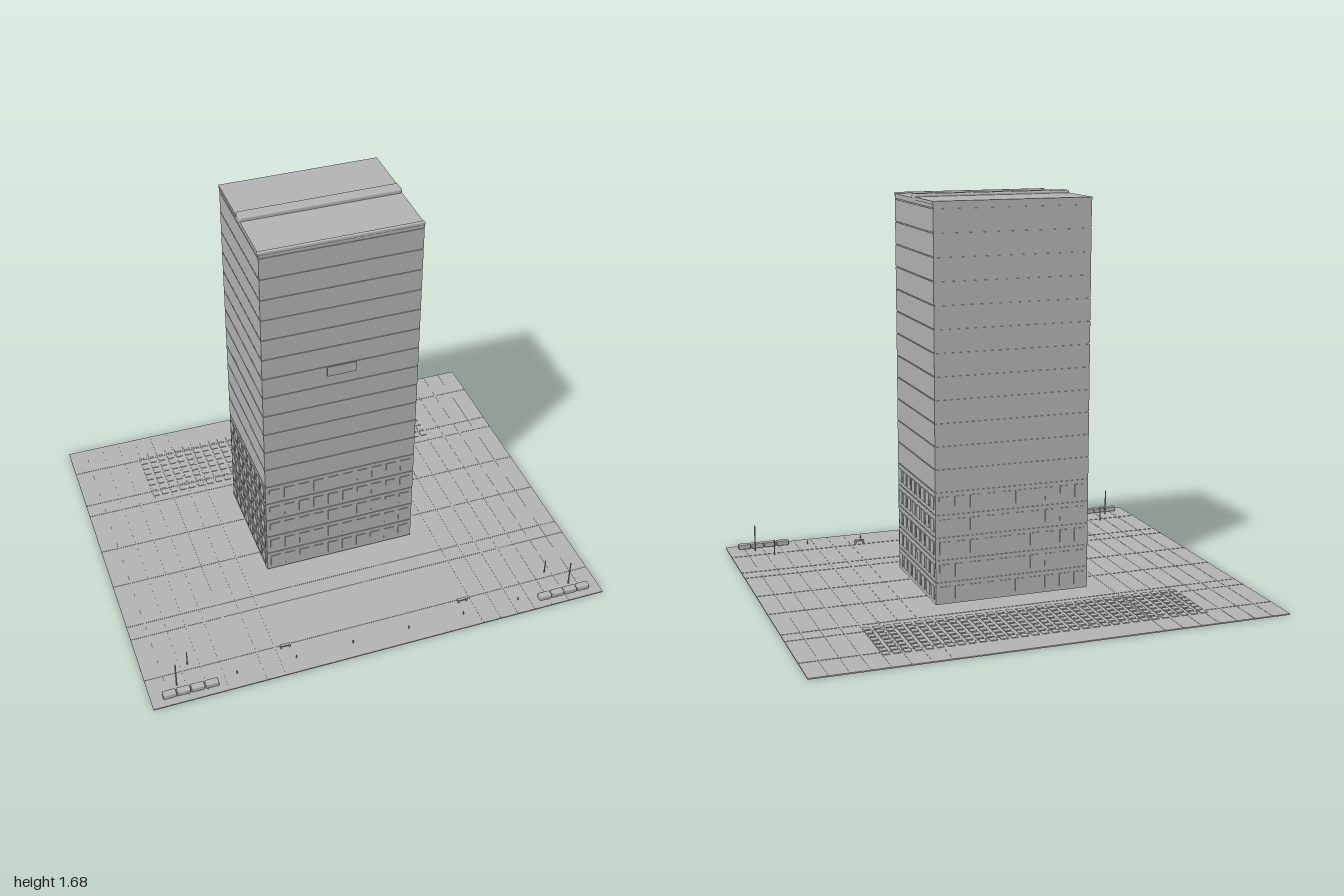
import * as THREE from 'three';
import { mergeGeometries } from 'three/addons/utils/BufferGeometryUtils.js';
import { RoundedBoxGeometry } from 'three/addons/geometries/RoundedBoxGeometry.js';

export function createModel() {
  const model = new THREE.Group();
  model.name = 'officeTower';
  const concrete = new THREE.MeshStandardMaterial({ color: 0xb4b4b4 });
  concrete.name = 'concrete grey';

  const add = (name, geometries) => {
    const mesh = new THREE.Mesh(mergeGeometries(geometries), concrete);
    mesh.name = name;
    model.add(mesh);
  };
  // Box given by its limits on each axis
  const box = (x0, x1, y0, y1, z0, z1) =>
    new THREE.BoxGeometry(x1 - x0, y1 - y0, z1 - z0)
      .translate((x0 + x1) / 2, (y0 + y1) / 2, (z0 + z1) / 2);
  const post = (x, z, height, radius) =>
    new THREE.CylinderGeometry(radius, radius, height, 8).translate(x, 0.005 + height / 2, z);

  // Plaza slab with thin paving strips
  const ground = 0.005;
  add('plaza', [box(-1, 1, 0, ground, -0.83, 0.83)]);
  const strips = [];
  for (const side of [-1, 1]) {
    for (let i = 0; i < 7; i++) {
      const x = side * (0.44 + i * 0.08);
      strips.push(box(x - 0.003, x + 0.003, ground, ground + 0.001, -0.83, 0.83));
    }
  }
  for (const z of [-0.675, -0.44, -0.365, -0.12, 0.11, 0.36, 0.435, 0.67]) {
    strips.push(box(-1, 1, ground, ground + 0.0015, z - 0.003, z + 0.003));
  }
  add('pavingStrips', strips);

  // Grid of small paving blocks behind the tower
  const blocks = [];
  for (let i = 0; i < 32; i++) {
    for (let j = 0; j < 8; j++) {
      const x = -0.675 + i * 0.0433, z = -0.692 + j * 0.0393;
      blocks.push(box(x - 0.014, x + 0.014, ground, ground + 0.003, z - 0.014, z + 0.014));
    }
  }
  add('parkingBlocks', blocks);

  // Tower: recessed core with one slab per floor and narrow joints between
  const X = 0.336, front = 0.24, back = -0.286;
  add('towerCore', [
    box(-X + 0.003, X - 0.003, 0.022, 1.65, back + 0.003, front - 0.003),
    box(-X + 0.06, X - 0.06, ground, 0.022, back + 0.06, front - 0.06),
  ]);
  const floors = [];
  const pitch = 0.0953, firstJoint = 0.115;
  for (let i = 0; i <= 17; i++) {
    const y0 = i === 0 ? 0.02 : firstJoint + (i - 1) * pitch + 0.002;
    const y1 = i === 17 ? 1.662 : firstJoint + i * pitch - 0.002;
    floors.push(box(-X, X, y0, y1, back, front));
  }
  add('floors', floors);

  // Window panels on the five lower floors, on all four sides
  const windows = [];
  for (let floor = 0; floor < 5; floor++) {
    const y0 = firstJoint + (floor - 1) * pitch + 0.02, y1 = y0 + 0.055;
    for (let i = 0; i < 10; i++) {
      const x = -0.297 + i * 0.066;
      windows.push(box(x - 0.022, x + 0.022, y0, y1, front, front + 0.003));
      windows.push(box(x - 0.022, x + 0.022, y0, y1, back - 0.003, back));
    }
    for (let i = 0; i < 8; i++) {
      const z = -0.248 + i * 0.0643;
      windows.push(box(X, X + 0.003, y0, y1, z - 0.022, z + 0.022));
      windows.push(box(-X - 0.003, -X, y0, y1, z - 0.022, z + 0.022));
    }
  }
  add('windowPanels', windows);

  // Roof slab behind the ridge, rounded lip in front, rounded ridge between
  add('roofSlab', [box(-X - 0.002, X + 0.002, 1.655, 1.668, back - 0.002, -0.05)]);
  add('roofLip', [
    new RoundedBoxGeometry(2 * X + 0.006, 0.016, 0.014, 2, 0.005).translate(0, 1.66, front - 0.005),
  ]);
  add('roofRidge', [
    new RoundedBoxGeometry(2 * X + 0.002, 0.038, 0.055, 2, 0.008).translate(0, 1.661, -0.026),
  ]);

  // Blank panel fixed to the facade
  add('facadePanel', [
    box(-0.065, 0.06, 1.028, 1.074, 0.25, 0.255),
    box(-0.04, -0.03, 1.045, 1.055, front, 0.25),
    box(0.03, 0.04, 1.045, 1.055, front, 0.25),
  ]);

  // Street furniture, mirrored left and right
  const benches = [], poles = [], seats = [], bollards = [];
  for (const side of [-1, 1]) {
    for (let i = 0; i < 4; i++) {
      const x = side * (0.744 + i * 0.0593);
      benches.push(new RoundedBoxGeometry(0.056, 0.022, 0.03, 1, 0.004).translate(x, 0.017, 0.782));
    }
    poles.push(post(side * 0.88, 0.737, 0.12, 0.003), post(side * 0.81, 0.643, 0.07, 0.0025));
    seats.push(box(side * 0.4 - 0.022, side * 0.4 + 0.022, 0.016, 0.022, 0.68, 0.692));
    for (const leg of [-0.018, 0.018]) {
      const x = side * 0.4 + leg;
      seats.push(box(x - 0.003, x + 0.003, ground, 0.016, 0.682, 0.69));
    }
    for (const x of [0.125, 0.375, 0.63]) bollards.push(post(side * x, 0.757, 0.016, 0.0025));
  }
  add('planters', benches);
  add('lampPoles', poles);
  add('seats', seats);
  add('bollards', bollards);

  return model;
}
